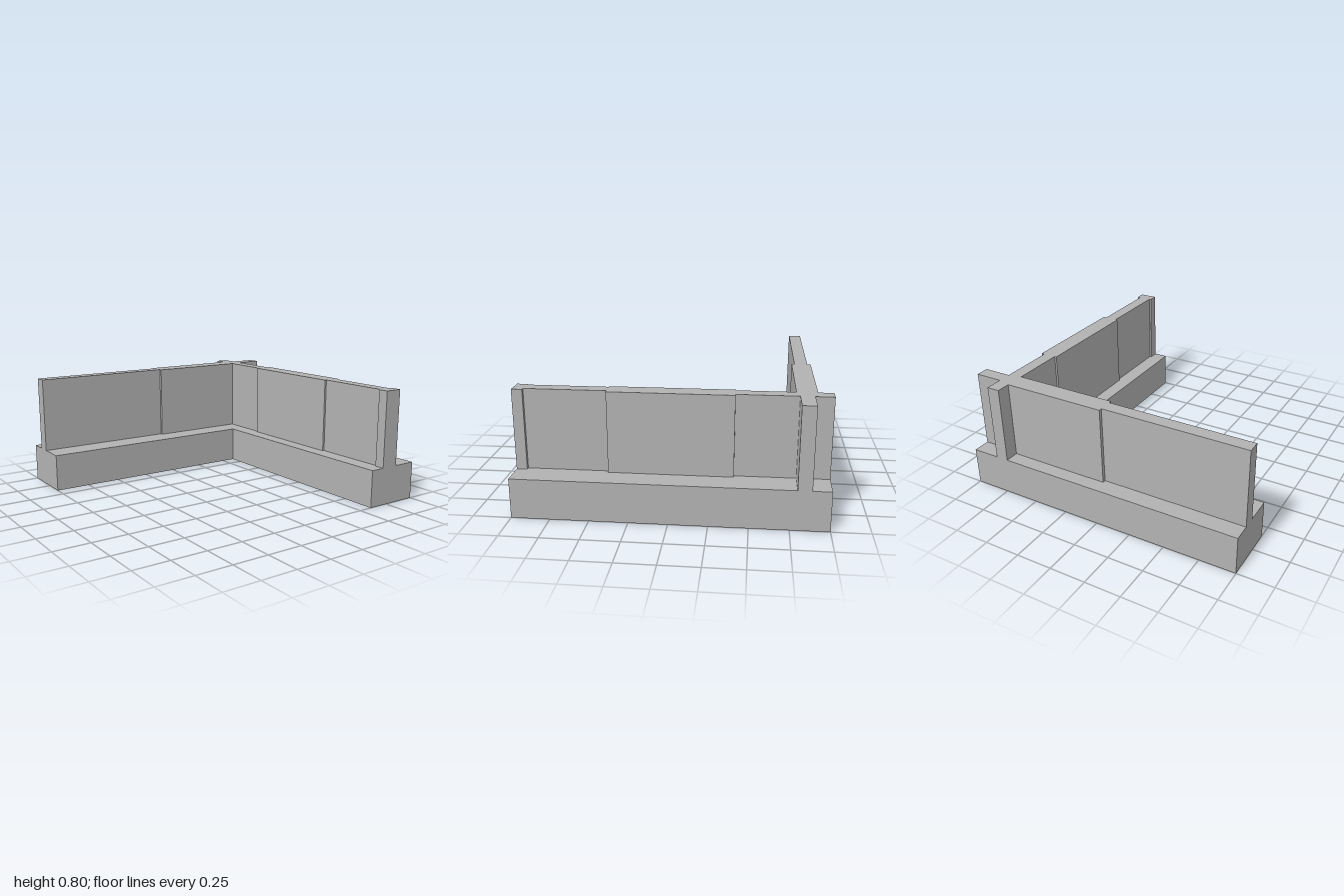
import * as THREE from 'three';

const BASE_TOP = 0.265;
const WALL_TOP = 0.8;

// Raise a plan outline, given as [x, z] corners, from y0 to y1
function raisePlan(name, corners, y0, y1, material) {
  const shape = new THREE.Shape(corners.map(([x, z]) => new THREE.Vector2(x, -z)));
  const geometry = new THREE.ExtrudeGeometry(shape, { depth: y1 - y0, bevelEnabled: false });
  geometry.rotateX(-Math.PI / 2).translate(0, y0, 0);
  const mesh = new THREE.Mesh(geometry, material);
  mesh.name = name;
  return mesh;
}

export function createModel() {
  const model = new THREE.Group();
  model.name = 'cornerWall';
  const concrete = new THREE.MeshStandardMaterial({ color: 0xb2b2b2 });
  concrete.name = 'concrete grey';

  // Wide L-shaped footing
  model.add(raisePlan('footing', [
    [-1, -1], [-1, -0.6], [0.6, -0.6], [0.6, 1], [1, 1], [1, -1],
  ], 0, BASE_TOP, concrete));

  // Crossing walls with thicker and thinner stretches, as one plan
  model.add(raisePlan('walls', [
    // front side of the back wall
    [-1, -0.88], [-1, -0.79], [0, -0.79], [0, -0.77], [0.717, -0.77],
    // inner side of the side wall
    [0.717, -0.4], [0.703, -0.4], [0.703, 0.4], [0.717, 0.4], [0.717, 0.93], [0.703, 0.93], [0.703, 1],
    // outer side of the side wall
    [0.83, 1], [0.83, 0.93], [0.807, 0.93], [0.807, 0.4], [0.83, 0.4], [0.83, -0.4], [0.807, -0.4],
    // stubs past the crossing
    [0.807, -0.79], [1, -0.79], [1, -0.88], [0.807, -0.88], [0.807, -1], [0.717, -1],
    // rear side of the back wall
    [0.717, -0.903], [0, -0.903], [0, -0.88],
  ], BASE_TOP, WALL_TOP, concrete));

  return model;
}
